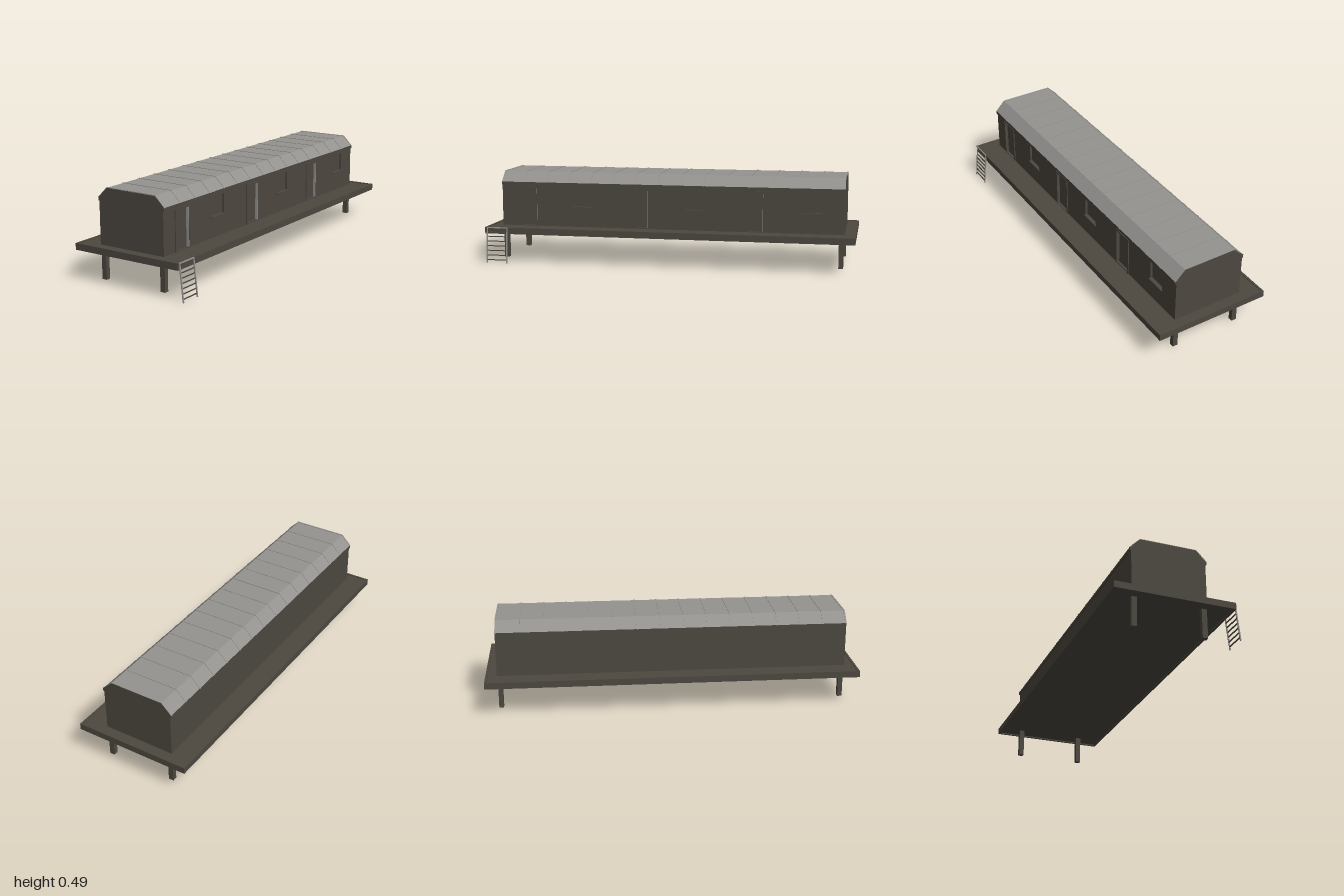
import * as THREE from 'three';

const timber = new THREE.MeshStandardMaterial({ color: 0x4d4840 });
timber.name = 'dark timber';
const metal = new THREE.MeshStandardMaterial({ color: 0x949390 });
metal.name = 'grey metal';

function add(parent, name, geometry, material) {
  const mesh = new THREE.Mesh(geometry, material);
  mesh.name = name;
  parent.add(mesh);
  return mesh;
}

// box given by its lower and upper corner on each axis
function box(parent, name, material, [x0, x1], [y0, y1], [z0, z1]) {
  const mesh = add(parent, name, new THREE.BoxGeometry(x1 - x0, y1 - y0, z1 - z0), material);
  mesh.position.set((x0 + x1) / 2, (y0 + y1) / 2, (z0 + z1) / 2);
  return mesh;
}

const polygon = (pts) => new THREE.Shape(pts.map(([x, y]) => new THREE.Vector2(x, y)));

// cross-section in x, y swept along z between z0 and z1
function sweep(parent, name, material, pts, z0, z1) {
  const geo = new THREE.ExtrudeGeometry(polygon(pts), { depth: z1 - z0, bevelEnabled: false });
  geo.translate(0, 0, z0);
  return add(parent, name, geo, material);
}

const FLOOR = 0.189, HALF = 0.94;
const WALL_X = 0.178, RECESS_X = 0.166;
const doors = [0.79, 0.165, -0.46];
const windows = [0.485, -0.14, -0.77];

function makeDeck() {
  const deck = new THREE.Group();
  deck.name = 'deck';
  const y = [0.16, 0.195], r = 0.012;
  box(deck, 'deckFloor', timber, [-0.325, 0.3], [0.167, 0.191], [-0.995, 0.995]);
  for (const [a, b] of [[-0.33, -0.33 + r], [0.305 - r, 0.305]])
    box(deck, 'deckSideBeam', timber, [a, b], y, [-1, 1]);
  for (const [a, b] of [[-1, -1 + r], [1 - r, 1]])
    box(deck, 'deckEndBeam', timber, [-0.33 + r, 0.305 - r], y, [a, b]);
  for (const x of [-0.217, 0.15])
    for (const z of [-0.923, 0.923])
      box(deck, 'post', timber, [x, x + 0.028], [0.01, 0.168], [z - 0.0125, z + 0.0125]);
  return deck;
}

function makeHouse() {
  const house = new THREE.Group();
  house.name = 'house';
  sweep(house, 'houseBody', timber, [
    [-0.217, FLOOR], [RECESS_X, FLOOR], [RECESS_X, 0.432], [0.182, 0.432],
    [0.128, 0.485], [-0.166, 0.485], [-0.221, 0.432], [-0.217, 0.43]], -HALF, HALF);

  // entrance wall with door and window openings, drawn with u = -z
  const wall = polygon([[-HALF, FLOOR], [HALF, FLOOR], [HALF, 0.432], [-HALF, 0.432]]);
  const opening = (z, w, y0, y1) => wall.holes.push(new THREE.Path([
    [-z - w, y0], [-z - w, y1], [-z + w, y1], [-z + w, y0]].map(p => new THREE.Vector2(...p))));
  for (const z of doors) opening(z, 0.05, 0.196, 0.4);
  for (const z of windows) opening(z, 0.052, 0.302, 0.405);
  const geo = new THREE.ExtrudeGeometry(wall, { depth: WALL_X - RECESS_X, bevelEnabled: false });
  geo.rotateY(Math.PI / 2).translate(RECESS_X, 0, 0);
  add(house, 'entranceWall', geo, timber);

  // door frames with a grey jamb, and window sills
  for (const z of doors) {
    const x = [WALL_X - 0.001, 0.183];
    for (const s of [-1, 1])
      box(house, 'doorPost', timber, x, [FLOOR, 0.41], [z + s * 0.055 - 0.005, z + s * 0.055 + 0.005]);
    box(house, 'doorLintel', timber, x, [0.4, 0.41], [z - 0.05, z + 0.05]);
    box(house, 'doorJamb', metal, [RECESS_X, 0.182], [0.196, 0.399], [z - 0.05, z - 0.048]);
  }
  for (const z of windows)
    box(house, 'windowSill', timber, [RECESS_X, 0.187], [0.296, 0.302], [z - 0.057, z + 0.057]);
  return house;
}

function makeRoof() {
  const roof = new THREE.Group();
  roof.name = 'roof';
  // band over both slopes and the flat top, t thick
  const band = (t) => [
    [0.182, 0.431], [0.184 + t, 0.433], [0.13 + t * 0.4, 0.487 + t], [-0.168 - t * 0.4, 0.487 + t],
    [-0.223 - t, 0.433], [-0.221, 0.431], [-0.166, 0.484], [0.128, 0.484]];
  sweep(roof, 'roofSheet', [timber, metal], band(0), -HALF, HALF);
  // raised seams between the roof sheets
  for (let i = 0; i <= 15; i++) {
    const z = (i / 15 * 2 - 1) * (HALF - 0.004);
    sweep(roof, 'roofSeam', metal, band(0.0025), z - 0.004, z + 0.004);
  }
  box(roof, 'leftEave', timber, [0.177, 0.184], [0.416, 0.433], [-HALF, HALF]);
  box(roof, 'rightEave', timber, [-0.223, -0.216], [0.416, 0.433], [-HALF, HALF]);
  return roof;
}

function makeLadder() {
  const ladder = new THREE.Group();
  ladder.name = 'ladder';
  const length = 0.196;
  for (const z of [-0.056, 0.056])
    box(ladder, 'ladderRail', metal, [-0.003, 0.003], [-length, 0], [z - 0.003, z + 0.003]);
  box(ladder, 'ladderTopBar', metal, [-0.003, 0.003], [-0.006, 0], [-0.056, 0.056]);
  for (let i = 1; i <= 7; i++)
    box(ladder, 'ladderRung', timber, [-0.0025, 0.0025], [-0.0255 * i - 0.0025, -0.0255 * i + 0.0025], [-0.056, 0.056]);
  ladder.position.set(0.305, 0.196, 0.93);
  ladder.rotation.z = 0.105;
  return ladder;
}

export function createModel() {
  const model = new THREE.Group();
  model.name = 'stiltHouse';
  model.add(makeDeck(), makeHouse(), makeRoof(), makeLadder());
  return model;
}
